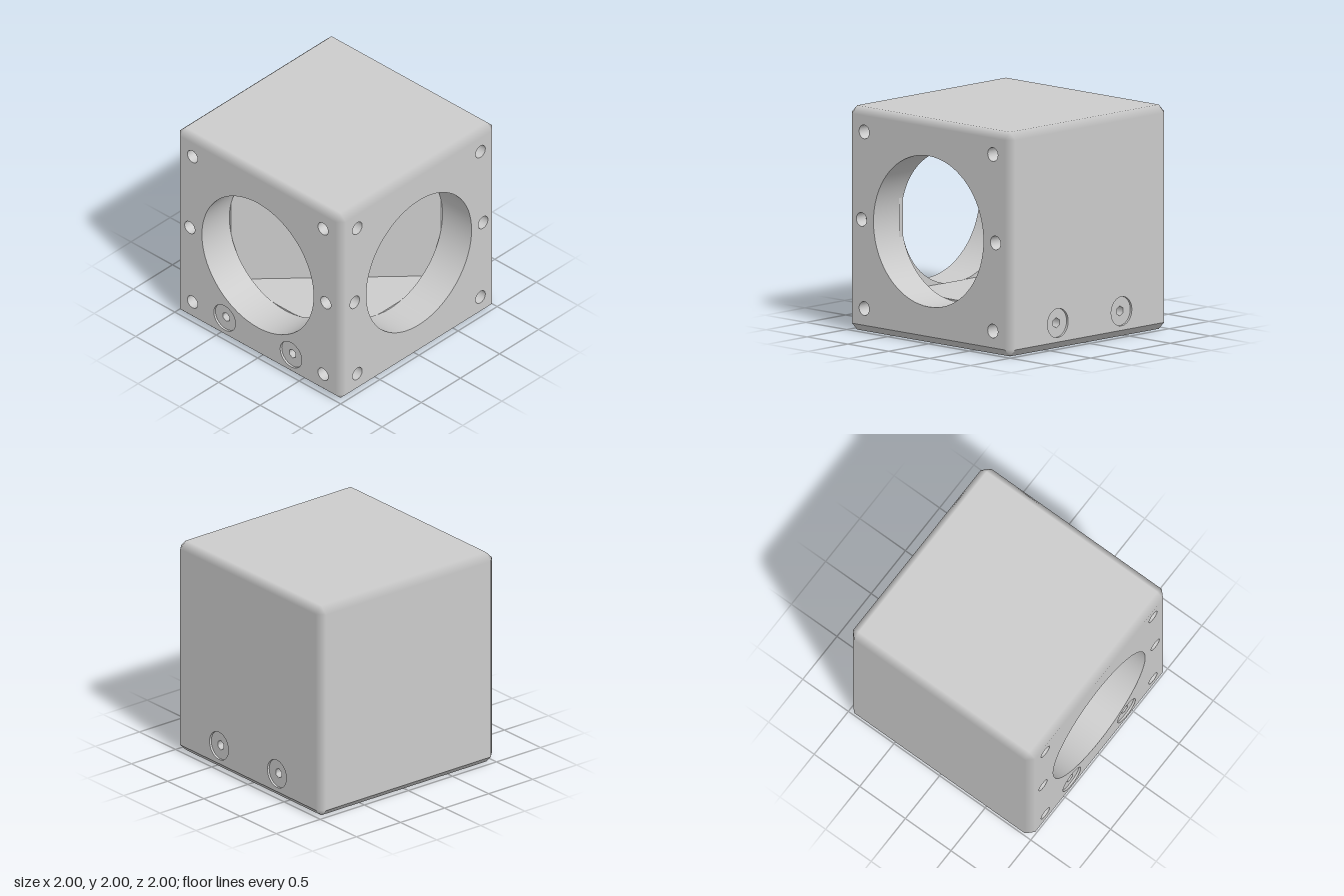
import * as THREE from 'three';

const C = 0.065;          // edge chamfer
const F = 1 - C;          // half size of each flat face
const BORE = 0.673;       // radius of the two large openings
const A = 0.65;           // half size of the inner cavity
const H = 0.655;          // half height of the inner cavity
const PIN = 0.062;        // radius of the small mounting holes

const material = new THREE.MeshStandardMaterial({ color: 0xcccccc, side: THREE.DoubleSide });

function add(parent, name, geometry, x = 0, y = 0, z = 0) {
  const mesh = new THREE.Mesh(geometry, material);
  mesh.name = name;
  mesh.position.set(x, y, z);
  parent.add(mesh);
  return mesh;
}

// Regular polygon (or circle) as a list of points
function ring(x, y, r, n, start = 0) {
  return Array.from({ length: n }, (_, i) => {
    const a = start + (i / n) * Math.PI * 2;
    return new THREE.Vector2(x + r * Math.cos(a), y + r * Math.sin(a));
  });
}

// Square panel with holes, in its own xy plane
function panel(half, holes) {
  const s = new THREE.Shape(ring(0, 0, half * Math.SQRT2, 4, Math.PI / 4));
  s.holes = holes.map((points) => new THREE.Path(points));
  return new THREE.ShapeGeometry(s);
}

// Open tube running along z from -depth to 0
function tube(r, depth, n) {
  return new THREE.CylinderGeometry(r, r, depth, n, 1, true)
    .rotateX(Math.PI / 2).translate(0, 0, -depth / 2);
}

// One side of the cube, facing local +z, with its openings and fittings
function side(root, name, rx, ry, { bore = false, pins = [], screws = [], depth = 0.13 } = {}) {
  const g = new THREE.Group();
  g.name = name;
  g.rotation.set(rx, ry, 0);
  g.position.y = 1;
  root.add(g);

  const holes = [
    ...pins.map(([x, y]) => ring(x, y, PIN, 24)),
    ...screws.map(([x, y]) => ring(x, y, 0.13, 40)),
  ];
  if (bore) holes.push(ring(0, 0.003, BORE, 72));
  add(g, name + 'Panel', panel(F, holes), 0, 0, 1);

  for (const [x, y] of pins) {
    add(g, 'mountingHole', tube(PIN, depth, 24), x, y, 1);
    add(g, 'mountingHoleEnd', new THREE.CircleGeometry(PIN, 24), x, y, 1 - depth);
  }

  // Flush screw heads with a hexagonal socket
  for (const [x, y] of screws) {
    add(g, 'screwRecess', tube(0.13, 0.02, 40), x, y, 1);
    const head = new THREE.Shape(ring(0, 0, 0.13, 40));
    head.holes.push(new THREE.Path(ring(0, 0, 0.045, 6, Math.PI / 6)));
    add(g, 'screwHead', new THREE.ShapeGeometry(head), x, y, 0.98);
    add(g, 'screwSocket', tube(0.045, 0.08, 6), x, y, 0.98);
    add(g, 'screwSocketEnd', new THREE.CircleGeometry(0.045, 6, Math.PI / 6), x, y, 0.9);
  }

  // Round tunnel through the wall and the inner wall where it meets the cavity
  if (bore) {
    add(g, 'boreTunnel', tube(BORE, 1 - A, 72), 0, 0.003, 1);
    const inner = ring(0, 0.003, BORE, 72).map((p) => new THREE.Vector2(
      THREE.MathUtils.clamp(p.x, -A, A), THREE.MathUtils.clamp(p.y, -H, H)));
    add(g, 'cavityWall', panel(0.7, [inner]), 0, 0, A);
  }
}

// Chamfer strips and corner triangles, shaded from one face to the next
function chamfers() {
  const pos = [], nor = [];
  // Corner of the flat face on the given axis
  const corner = (axis, s) => new THREE.Vector3(...s.map((v, i) => v * (i === axis ? 1 : F)));
  const axisNormal = (axis, s) => new THREE.Vector3().setComponent(axis, s[axis]);
  const tri = (p, n) => {
    const facing = p[1].clone().sub(p[0]).cross(p[2].clone().sub(p[0])).dot(p[0]);
    for (const i of facing > 0 ? [0, 1, 2] : [0, 2, 1]) {
      pos.push(p[i].x, p[i].y + 1, p[i].z);
      nor.push(...n[i].toArray());
    }
  };
  for (let a = 0; a < 3; a++) {
    const b = (a + 1) % 3, c = (a + 2) % 3;
    for (const sa of [-1, 1]) for (const sb of [-1, 1]) {
      const s = [0, 0, 0], t = [0, 0, 0];
      s[a] = t[a] = sa; s[b] = t[b] = sb; s[c] = -1; t[c] = 1;
      let na = axisNormal(a, s), nb = axisNormal(b, s);
      // The base edge keeps a crisp seam
      if ((a === 1 && sa < 0) || (b === 1 && sb < 0)) {
        na = na.clone().add(nb).normalize();
        nb = na;
      }
      const p = [corner(a, s), corner(a, t), corner(b, t), corner(b, s)];
      tri([p[0], p[1], p[2]], [na, na, nb]);
      tri([p[0], p[2], p[3]], [na, nb, nb]);
    }
  }
  for (const x of [-1, 1]) for (const y of [-1, 1]) for (const z of [-1, 1]) {
    const s = [x, y, z];
    tri([0, 1, 2].map((i) => corner(i, s)), [0, 1, 2].map((i) => axisNormal(i, s)));
  }
  const g = new THREE.BufferGeometry();
  g.setAttribute('position', new THREE.Float32BufferAttribute(pos, 3));
  g.setAttribute('normal', new THREE.Float32BufferAttribute(nor, 3));
  return g;
}

export function createModel() {
  const root = new THREE.Group();
  root.name = 'mirrorCube';

  const pins = [];
  for (const s of [-1, 1]) pins.push([s * 0.787, 0.79], [s * 0.82, 0.005], [s * 0.787, -0.785]);
  const screws = [[-0.4, -0.765], [0.4, -0.765]];
  const q = Math.PI / 2;

  side(root, 'front', 0, 0, { bore: true, pins, screws });
  side(root, 'left', 0, q, { bore: true, pins });
  side(root, 'back', 0, Math.PI, { screws });
  side(root, 'right', 0, -q);
  side(root, 'top', -q, 0);
  side(root, 'bottom', q, 0, { pins: [[0, 0]], depth: 0.28 });
  add(root, 'edgeChamfers', chamfers());

  // Diagonal mirror across the cavity, facing both openings
  const mirror = add(root, 'mirror', new THREE.PlaneGeometry(2 * A * Math.SQRT2, 2 * H), 0, 1, 0);
  mirror.rotation.y = Math.PI / 4;

  // Triangular cavity floor and ceiling
  const triangle = new THREE.Shape([
    new THREE.Vector2(-A, -A), new THREE.Vector2(A, -A), new THREE.Vector2(A, A),
  ]);
  const flat = new THREE.ShapeGeometry(triangle).rotateX(-q);
  add(root, 'cavityFloor', flat, 0, 1 - H, 0);
  add(root, 'cavityCeiling', flat, 0, 1 + H, 0);
  return root;
}
